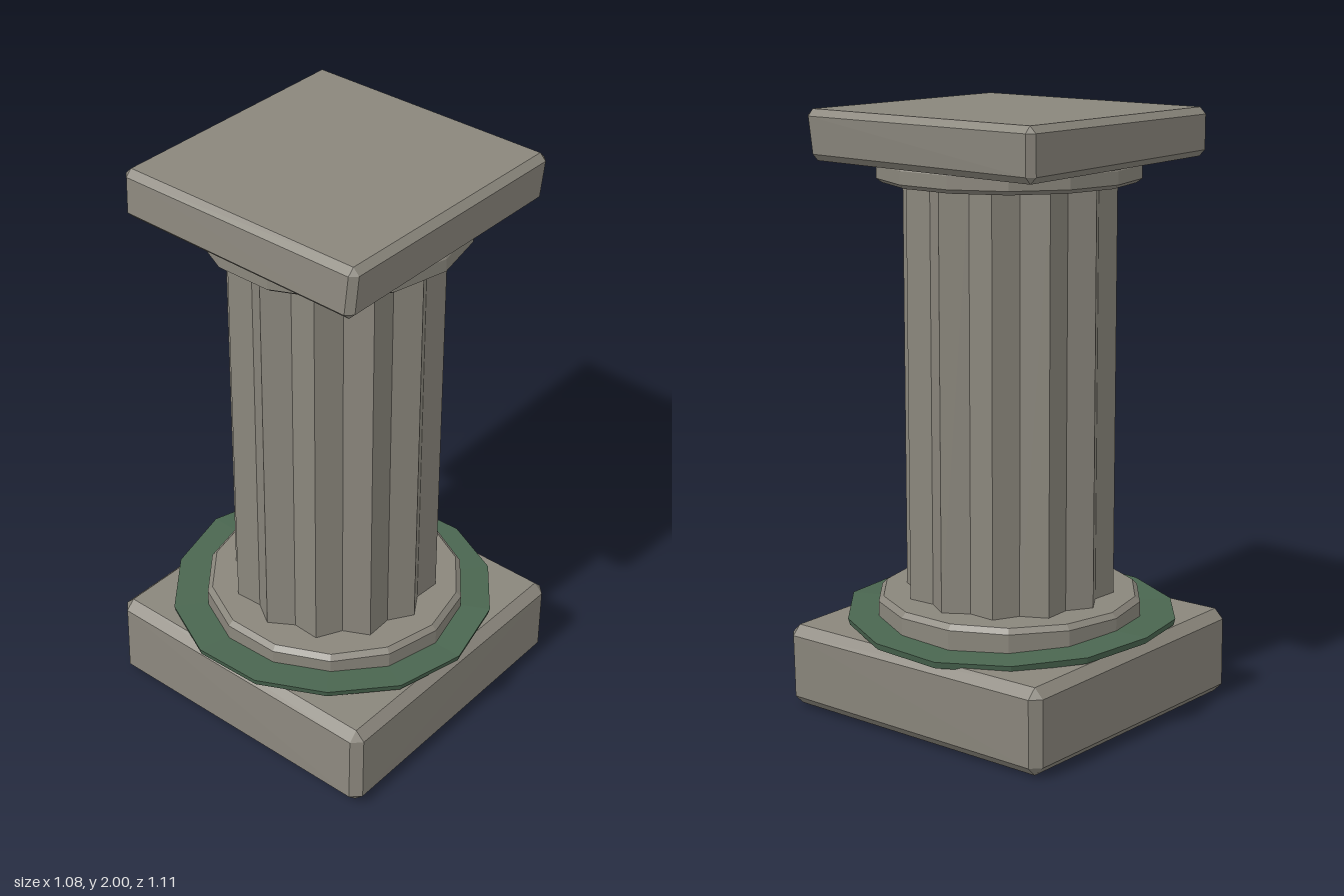
import * as THREE from 'three';
import { ConvexGeometry } from 'three/addons/geometries/ConvexGeometry.js';

const stone = new THREE.MeshStandardMaterial({ color: 0x8a867c });
stone.name = 'weathered stone';
const moss = new THREE.MeshStandardMaterial({ color: 0x4a6650 });
moss.name = 'moss green';

// Separate the faces so every facet is flat
function faceted(geometry) {
  const g = geometry.index ? geometry.toNonIndexed() : geometry;
  g.computeVertexNormals();
  return g;
}

// Slightly crooked slab with cut edges; corners run back to front, left to right, [x, z]
function slab(bottom, top, bottomY, topY, cut) {
  const points = [];
  [bottom, top].forEach((ring, level) => ring.forEach(([x, z], i) => {
    const y = (level ? topY : bottomY)[i];
    const dx = -Math.sign(x) * cut, dz = -Math.sign(z) * cut, dy = level ? -cut : cut;
    points.push(
      new THREE.Vector3(x, y + dy, z + dz),
      new THREE.Vector3(x + dx, y, z + dz),
      new THREE.Vector3(x + dx, y + dy, z));
  }));
  return new ConvexGeometry(points);
}

// Fourteen-sided disc turned from a profile of [radius, y]
function disc(profile) {
  return faceted(new THREE.LatheGeometry(profile.map(([r, y]) => new THREE.Vector2(r, y)), 14));
}

// Twelve-fluted shaft: every second corner is drawn inward
function flutedShaft(outer, inner, y0, y1) {
  const g = new THREE.CylinderGeometry(1, 1, y1 - y0, 24);
  const p = g.attributes.position;
  for (let i = 0; i < p.count; i++) {
    const x = p.getX(i), z = p.getZ(i);
    const step = Math.round(Math.atan2(x, z) / (Math.PI / 12));
    const r = step % 2 === 0 ? outer : inner;
    p.setXYZ(i, x * r, p.getY(i) + (y0 + y1) / 2, z * r);
  }
  return faceted(g);
}

// Wavy moss collar: each corner of a thin disc gets its own height
function mossCollar() {
  const heights = [0.32, 0.338, 0.325, 0.315, 0.306, 0.312, 0.322, 0.336, 0.325, 0.318, 0.322, 0.33, 0.334, 0.322];
  const g = new THREE.CylinderGeometry(0.556, 0.55, 0.022, 14);
  const p = g.attributes.position;
  for (let i = 0; i < p.count; i++) {
    const x = p.getX(i), z = p.getZ(i), y = p.getY(i);
    const k = (Math.round(Math.atan2(x, z) / (Math.PI / 7)) + 14) % 14;
    const middle = Math.hypot(x, z) < 0.01;
    p.setY(i, y - 0.011 + (middle ? 0.322 : heights[k]));
  }
  return faceted(g);
}

export function createModel() {
  const group = new THREE.Group();
  const add = (name, geometry, material = stone, z = 0) => {
    const mesh = new THREE.Mesh(geometry, material);
    mesh.name = name;
    mesh.position.z = z;
    group.add(mesh);
  };

  add('basePlinth', slab(
    [[-0.525, -0.525], [0.525, -0.52], [0.525, 0.54], [-0.525, 0.55]],
    [[-0.515, -0.53], [0.532, -0.525], [0.535, 0.535], [-0.51, 0.54]],
    [0, 0.005, 0.01, 0.005], [0.3, 0.295, 0.29, 0.295], 0.032));
  add('baseRing', disc([[0, 0.28], [0.445, 0.28], [0.445, 0.375], [0.428, 0.392], [0, 0.392]]), stone, 0.01);
  add('mossCollar', mossCollar(), moss);
  add('flutedShaft', flutedShaft(0.351, 0.31, 0.38, 1.78), stone, 0.01);
  add('capitalRing', disc([[0, 1.768], [0.415, 1.768], [0.434, 1.782], [0.434, 1.825], [0.42, 1.85], [0, 1.85]]), stone, 0.01);
  add('capitalSlab', slab(
    [[-0.46, -0.45], [0.46, -0.445], [0.457, 0.465], [-0.464, 0.46]],
    [[-0.45, -0.457], [0.466, -0.448], [0.468, 0.472], [-0.452, 0.465]],
    [1.835, 1.825, 1.835, 1.828], [1.995, 1.998, 2, 1.996], 0.022));

  return group;
}
